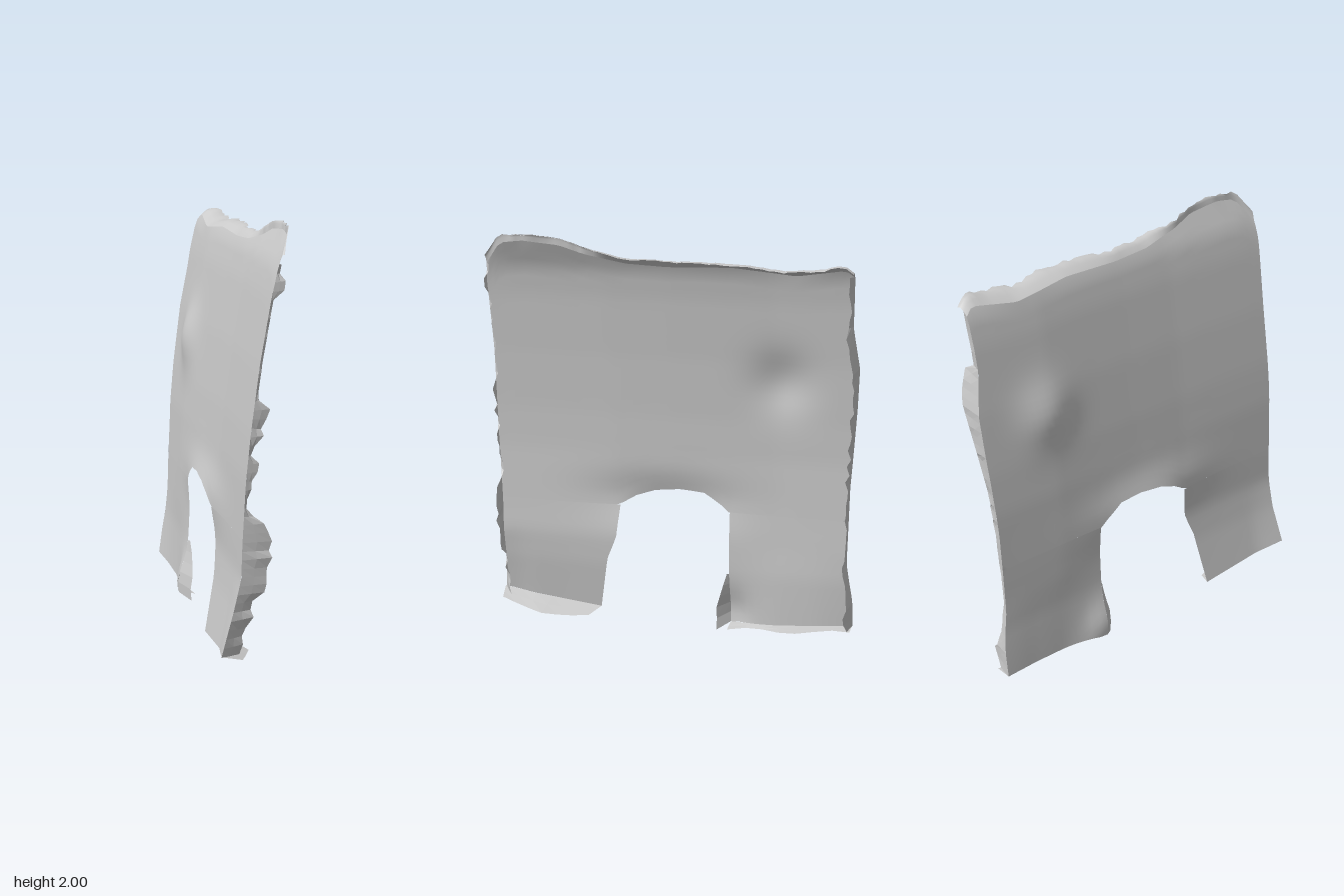
import * as THREE from 'three';
import { mergeGeometries, mergeVertices } from 'three/addons/utils/BufferGeometryUtils.js';

// piecewise-linear lookup through [input, output] pairs
function along(pairs, t) {
  if (t <= pairs[0][0]) return pairs[0][1];
  for (let i = 1; i < pairs.length; i++) {
    const [a, va] = pairs[i - 1], [b, vb] = pairs[i];
    if (t <= b) return va + (vb - va) * (t - a) / (b - a);
  }
  return pairs[pairs.length - 1][1];
}
const mix = (a, b, t) => a + (b - a) * t;
const bell = (d, w) => Math.exp(-(d * d) / (w * w));

// outlines of the panel, seen from the side
const topEdge = [[-0.88, 1.84], [-0.83, 1.88], [-0.6, 1.84], [-0.3, 1.87], [0, 1.86], [0.2, 1.87],
  [0.4, 1.91], [0.52, 1.95], [0.7, 1.965], [0.81, 1.95], [0.885, 1.84]];
const arch = [[-0.27, 0.63], [-0.15, 0.71], [-0.03, 0.72], [0.1, 0.705], [0.2, 0.67], [0.28, 0.62]];
const frontEdge = [[0.06, 0.92], [0.3, 0.89], [0.6, 0.885], [1, 0.89], [1.4, 0.88], [1.75, 0.885], [1.96, 0.86]];
const backEdge = [[0.05, -0.88], [0.2, -0.88], [0.4, -0.85], [0.8, -0.86], [1.2, -0.89], [1.4, -0.9], [1.6, -0.87], [1.86, -0.88]];
const innerFront = [[0.05, 0.4], [0.33, 0.35], [0.45, 0.3], [0.62, 0.28]];

// sideways lean by height, and how far the sheet swings towards +x across its width
const lean = [[0.03, -0.175], [0.3, -0.15], [0.6, -0.14], [0.9, -0.125], [1.1, -0.105],
  [1.4, -0.065], [1.7, -0.015], [1.83, 0.015], [1.96, 0.08]];
const skewHigh = [[-0.88, 0], [-0.5, 0.012], [-0.2, 0.034], [0, 0.048], [0.3, 0.065], [0.9, 0.08]];
const skewLow = [[-0.88, -0.02], [-0.7, 0.01], [-0.5, 0.03], [-0.3, 0.02], [0.75, 0.02], [0.9, -0.01]];

// sideways position of the sheet: lean, swing, round dent, flare over the arch, bulged leg corner
function sheetX(y, z) {
  const skew = mix(along(skewLow, z), along(skewHigh, z), Math.min(1, y / 0.45));
  const dent = -0.04 * bell(Math.hypot(y - 1.3, z + 0.53), 0.14);
  const flare = -0.042 * bell(y - 0.66, 0.12) * bell(z - 0.05, 0.33);
  const corner = -0.03 * bell(z + 0.29, 0.07) * bell(y - 0.1, 0.1);
  return along(lean, y) + skew + dent + flare + corner;
}

// grid of points from a rule p(u, v) => [x, y, z]
function patch(nu, nv, p) {
  const pos = [], idx = [];
  for (let j = 0; j <= nv; j++) for (let i = 0; i <= nu; i++) pos.push(...p(i / nu, j / nv));
  for (let j = 0; j < nv; j++) for (let i = 0; i < nu; i++) {
    const a = j * (nu + 1) + i, b = a + 1, c = a + nu + 1, d = c + 1;
    idx.push(a, c, b, b, c, d);
  }
  const g = new THREE.BufferGeometry();
  g.setAttribute('position', new THREE.Float32BufferAttribute(pos, 3));
  g.setIndex(idx);
  return g;
}

// repeatable list of jags in the range -0.5 to 0.5
function jags(seed, n) {
  return Array.from({ length: n + 1 }, () => (seed = (seed * 16807) % 2147483647) / 2147483647 - 0.5);
}

export function createModel() {
  const group = new THREE.Group();
  const smooth = new THREE.MeshStandardMaterial({ color: 0xcccccc, side: THREE.DoubleSide });
  const faceted = new THREE.MeshStandardMaterial({ color: 0xcccccc, side: THREE.DoubleSide, flatShading: true });
  const add = (name, geometry, material) => {
    geometry.computeVertexNormals();
    const mesh = new THREE.Mesh(geometry, material);
    mesh.name = name;
    group.add(mesh);
  };

  // main sheet: upper body and two legs, welded together
  const leg = (lo, inner, outer) => patch(14, 14, (u, v) => {
    const y = mix(lo(u), 0.62, v);
    const z = mix(inner(y), outer(y), u);
    return [sheetX(y, z), y, z];
  });
  const upperPoint = (u, v) => {
    const zMid = mix(-0.87, 0.885, u);
    const low = zMid > -0.27 && zMid < 0.28 ? along(arch, zMid) : 0.62;
    const y = mix(low, along(topEdge, zMid), v);
    const z = mix(along(backEdge, y), along(frontEdge, y), u);
    return [sheetX(y, z), y, z];
  };
  const frontLow = (u) => 0.05 + 0.055 * u, backLow = (u) => 0.03 + 0.035 * u;
  const frontLeg = leg(frontLow, (y) => along(innerFront, y), (y) => along(frontEdge, y));
  const backLeg = leg(backLow, () => -0.27, (y) => along(backEdge, y));
  add('panelSheet', mergeVertices(mergeGeometries([patch(56, 30, upperPoint), frontLeg, backLeg])), smooth);

  // torn side rims, folded towards +x and a little inwards; reach is the fold's x at each height
  const rim = (name, edge, reach, side, tuck, y0, y1, seed) => {
    const n = 44, jag = jags(seed, n);
    add(name, patch(n, 2, (u, v) => {
      const k = jag[Math.round(u * n)], y = mix(y0, y1, u), z = along(edge, y), x = sheetX(y, z);
      const tip = Math.max(x + 0.012, along(reach, y) + 0.035 * k);
      const inward = 0.01 + tuck * bell(y, 0.4);
      return [mix(x, tip, v), y + 0.015 * k * v, z - side * inward * v + 0.015 * k * v];
    }), faceted);
  };
  rim('frontRim', frontEdge, [[0.1, -0.05], [0.2, -0.05], [0.22, -0.02], [0.34, -0.01], [0.38, 0.05], [0.62, 0.08],
    [0.78, -0.04], [0.9, -0.02], [0.96, 0.03], [1, -0.03], [1.08, 0.02], [1.2, 0.07], [1.25, 0], [1.4, 0],
    [1.7, 0.06], [1.72, 0.11], [1.84, 0.11]], 1, 0.045, 0.1, 1.84, 11);
  rim('backRim', backEdge, [[0.06, -0.1], [0.15, -0.06], [0.25, -0.1], [0.4, -0.11], [0.6, -0.1], [1, -0.06],
    [1.2, 0], [1.44, 0.09], [1.56, 0.09], [1.59, 0.01], [1.85, 0.06]], -1, 0.01, 0.065, 1.85, 29);

  // torn top rim curling over towards +x, starting on the sheet's top edge
  const topReach = [[-0.87, 0.1], [-0.75, 0.15], [-0.6, 0.13], [-0.3, 0.16], [-0.1, 0.14], [0, 0.12],
    [0.2, 0.16], [0.4, 0.13], [0.58, 0.16], [0.7, 0.17], [0.8, 0.14], [0.88, 0.11]];
  const topJag = jags(47, 56);
  add('topRim', patch(56, 3, (u, v) => {
    const [x, y, z] = upperPoint(u, 1), k = topJag[Math.round(u * 56)];
    const tip = along(topReach, z) + 0.025 * k;
    return [mix(x, tip, v), y + 0.035 * Math.sin(v * 2) + 0.015 * k * v, z + 0.01 * k * v];
  }), smooth);

  // soles folded under the legs
  const soleReach = [[0, -0.06], [0.2, -0.02], [0.5, 0.01], [1, -0.06]];
  add('frontSole', patch(6, 2, (u, v) => {
    const z = mix(0.4, 0.92, u), y = frontLow(u);
    return [mix(sheetX(y, z), along(soleReach, u), v), mix(y, 0.03 + 0.05 * u * u, v), z + 0.04 * v * (1 - 1.5 * u)];
  }), faceted);
  add('backSole', patch(7, 2, (u, v) => {
    const z = mix(-0.27, -0.88, u), y = backLow(u);
    return [mix(sheetX(y, z), -0.09 - 0.03 * Math.sin(9 * u), v), y - 0.012 * v * (1 - u), z];
  }), faceted);

  // small lip turned towards +x on the inner edge of the back leg
  add('backLegLip', patch(2, 5, (u, v) => {
    const y = mix(0.03, 0.3, v), w = along([[0, 0.06], [0.4, 0.06], [1, 0.01]], v);
    return [sheetX(y, -0.27) + 0.9 * w * u, y - 0.03 * u * (1 - v), -0.27 + w * u];
  }), faceted);

  return group;
}
